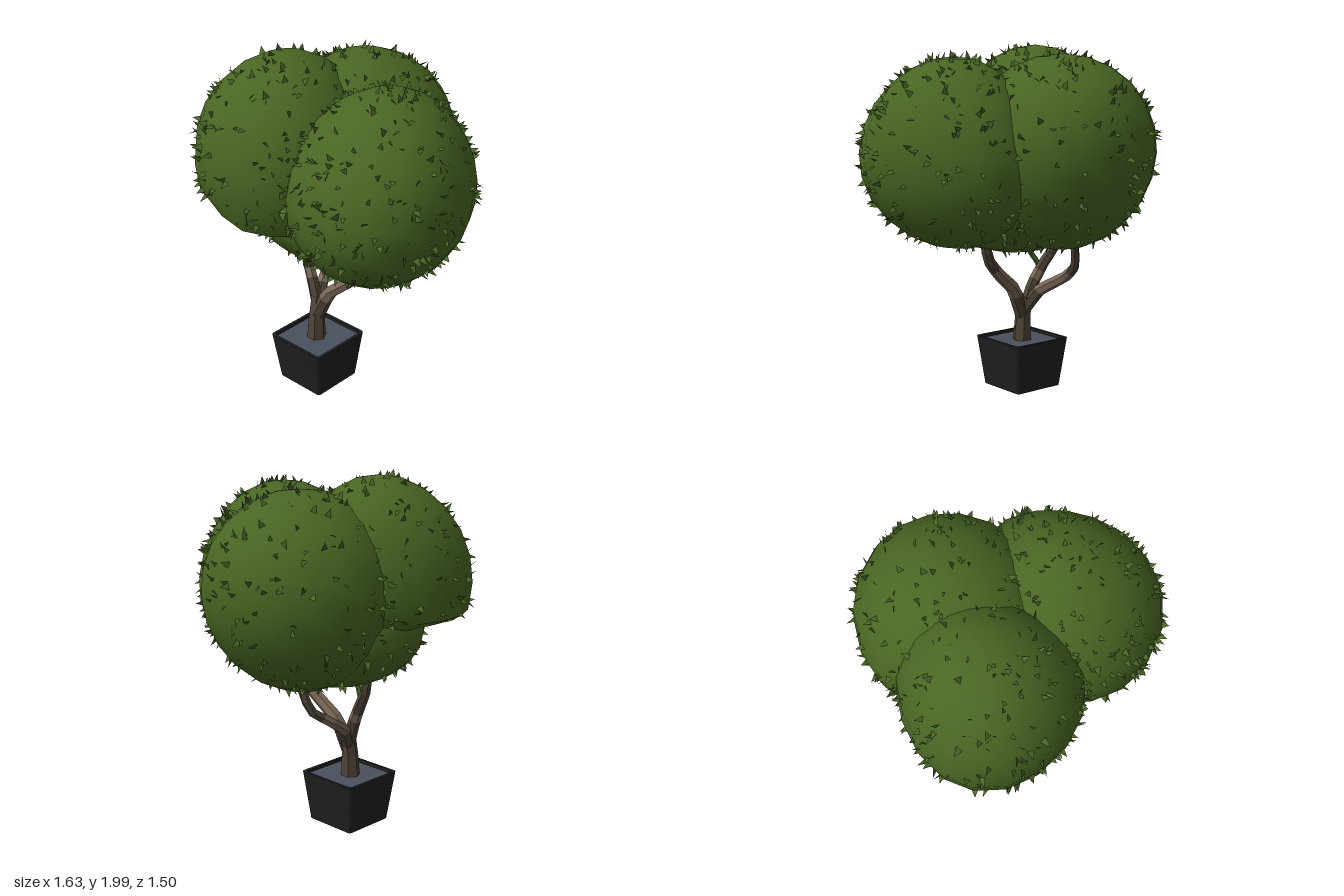
import * as THREE from 'three';
import { toCreasedNormals } from 'three/addons/utils/BufferGeometryUtils.js';

const material = (name, color, side = THREE.FrontSide) => {
  const m = new THREE.MeshStandardMaterial({ color, side });
  m.name = name;
  return m;
};

const V = (x, y, z) => new THREE.Vector3(x, y, z);

function seeded(seed) {
  return () => {
    seed = (seed * 1664525 + 1013904223) % 4294967296;
    return seed / 4294967296;
  };
}

// Foliage clumps: centre, radii, swell (wider to the front), droop (deeper at the bottom), optional sloped cut underneath
const CLUMPS = [
  { name: 'frontRightClump', c: V(-0.31, 1.40, 0.21), r: V(0.465, 0.565, 0.5), swell: 0.16, droop: 0, cut: (x) => 1.06 - 0.235 * x, leaves: 400 },
  { name: 'leftClump', c: V(0.325, 1.38, 0.13), r: V(0.455, 0.515, 0.54), swell: 0.17, droop: 0.14, leaves: 480 },
  { name: 'backClump', c: V(-0.145, 1.38, -0.20), r: V(0.515, 0.53, 0.525), swell: 0, droop: -0.08, leaves: 350 },
  { name: 'lowerClump', c: V(-0.07, 1.18, 0.06), r: V(0.6, 0.365, 0.47), swell: 0, droop: 0, leaves: 320 },
];

// Surface point of a clump for a unit direction
function clumpPoint(b, d) {
  return V(d.x * (1 + b.swell * d.z), d.y, d.z * (1 - b.droop * d.y)).multiply(b.r).add(b.c);
}

function isInside(b, p) {
  if (b.cut && p.y < b.cut(p.x)) return false;
  const q = p.clone().sub(b.c).divide(b.r);
  q.z /= 1 - b.droop * q.y;
  q.x /= 1 + b.swell * q.z;
  return q.length() < 0.98;
}

function clumpGeometry(b) {
  const g = new THREE.SphereGeometry(1, 18, 12);
  const pos = g.attributes.position;
  const v = V(0, 0, 0);
  for (let i = 0; i < pos.count; i++) {
    const p = clumpPoint(b, v.fromBufferAttribute(pos, i));
    if (b.cut) p.y = Math.max(p.y, b.cut(p.x));
    pos.setXYZ(i, p.x, p.y, p.z);
  }
  return toCreasedNormals(g, 0.8);
}

// Small pointed leaves standing off the exposed surface of a clump
function leafGeometry(b, rand) {
  const out = [];
  for (let i = 0; i < b.leaves; i++) {
    const y = rand() * 2 - 1, a = rand() * Math.PI * 2, h = Math.sqrt(1 - y * y);
    const dir = V(h * Math.cos(a), y, h * Math.sin(a));
    const p = clumpPoint(b, dir);
    const spin = rand() * Math.PI * 2, size = 0.03 + rand() * 0.016;
    if (b.cut && p.y < b.cut(p.x)) continue;
    if (CLUMPS.some((o) => o !== b && isInside(o, p))) continue;
    const n = dir.clone().divide(b.r).normalize();
    const side = V(0.3, 1, 0.2).cross(n).normalize().applyAxisAngle(n, spin);
    const along = n.clone().cross(side);
    p.addScaledVector(n, -0.01);
    const tip = p.clone().addScaledVector(n, size).addScaledVector(along, size * 0.6);
    const l = p.clone().addScaledVector(side, size * 0.45);
    const r = p.clone().addScaledVector(side, -size * 0.45);
    out.push(...l.toArray(), ...r.toArray(), ...tip.toArray());
  }
  const g = new THREE.BufferGeometry();
  g.setAttribute('position', new THREE.Float32BufferAttribute(out, 3));
  g.computeVertexNormals();
  return g;
}

// Faceted limb along a path, tapering from r0 to r1; bands gives the material index of each ring
function limbGeometry(points, r0, r1, bands) {
  const curve = new THREE.CatmullRomCurve3(points, false, 'catmullrom', 0.2);
  const rings = bands.length, sides = 6;
  const g = new THREE.TubeGeometry(curve, rings, 1, sides);
  const pos = g.attributes.position;
  const v = V(0, 0, 0);
  for (let i = 0; i <= rings; i++) {
    const c = curve.getPointAt(i / rings);
    const radius = THREE.MathUtils.lerp(r0, r1, i / rings);
    for (let j = 0; j <= sides; j++) {
      const k = i * (sides + 1) + j;
      v.fromBufferAttribute(pos, k).sub(c).multiplyScalar(radius).add(c);
      pos.setXYZ(k, v.x, v.y, v.z);
    }
  }
  const flat = g.toNonIndexed();
  flat.computeVertexNormals();
  bands.forEach((m, i) => flat.addGroup(i * sides * 6, sides * 6, m));
  return flat;
}

function roundedSquare(Type, h, r) {
  const s = new Type();
  s.moveTo(-h + r, -h);
  s.lineTo(h - r, -h).absarc(h - r, -h + r, r, -Math.PI / 2, 0);
  s.lineTo(h, h - r).absarc(h - r, h - r, r, 0, Math.PI / 2);
  s.lineTo(-h + r, h).absarc(-h + r, h - r, r, Math.PI / 2, Math.PI);
  s.lineTo(-h, -h + r).absarc(-h + r, -h + r, r, Math.PI, Math.PI * 1.5);
  return s;
}

// Square slab from y0 to y1 following the pot's taper
function potGeometry(shape, y0, y1) {
  const g = new THREE.ExtrudeGeometry(shape, { depth: y1 - y0, bevelEnabled: false, curveSegments: 4 });
  g.rotateX(-Math.PI / 2).translate(0, y0, 0);
  const pos = g.attributes.position;
  for (let i = 0; i < pos.count; i++) {
    const s = 0.82 + 0.18 * pos.getY(i) / 0.285;
    pos.setX(i, pos.getX(i) * s);
    pos.setZ(i, pos.getZ(i) * s);
  }
  return toCreasedNormals(g, 0.6);
}

export function createModel() {
  const foliage = material('foliage green', 0x496623);
  const leaf = material('leaf green', 0x496628, THREE.DoubleSide);
  const darkBark = material('dark bark brown', 0x4f4437, THREE.DoubleSide);
  const lightBark = material('light bark brown', 0x796757, THREE.DoubleSide);
  const potBlack = material('pot black', 0x1f1f1f);
  const soilGrey = material('soil grey', 0x4a515d);
  const barks = [darkBark, lightBark];

  const model = new THREE.Group();
  model.name = 'pottedTree';
  const add = (parent, name, geometry, mat) => {
    const mesh = new THREE.Mesh(geometry, mat);
    mesh.name = name;
    parent.add(mesh);
    return mesh;
  };

  // Pot: tapered wall, floor and soil
  const pot = new THREE.Group();
  pot.name = 'pot';
  pot.position.set(-0.17, 0, 0.16);
  model.add(pot);
  const wall = roundedSquare(THREE.Shape, 0.192, 0.022);
  wall.holes.push(roundedSquare(THREE.Path, 0.174, 0.015));
  add(pot, 'potWall', potGeometry(wall, 0, 0.285), potBlack);
  add(pot, 'potFloor', potGeometry(roundedSquare(THREE.Shape, 0.175, 0.015), 0, 0.02), potBlack);
  add(pot, 'soil', potGeometry(roundedSquare(THREE.Shape, 0.175, 0.015), 0.24, 0.268), soilGrey);

  // Trunk and branches
  const limbs = new THREE.Group();
  limbs.name = 'limbs';
  model.add(limbs);
  add(limbs, 'trunk', limbGeometry([V(-0.175, 0.24, 0.165), V(-0.175, 0.38, 0.16), V(-0.18, 0.53, 0.14)], 0.058, 0.038, [0, 0, 0, 0]), barks);
  add(limbs, 'leftBranch', limbGeometry([V(-0.17, 0.42, 0.155), V(-0.09, 0.58, 0.14), V(0.03, 0.68, 0.12), V(0.13, 0.78, 0.09), V(0.17, 0.95, 0.08)], 0.044, 0.026, [0, 0, 1, 1, 1, 1, 0, 0, 0, 0]), barks);
  add(limbs, 'backBranch', limbGeometry([V(-0.18, 0.46, 0.14), V(-0.22, 0.57, 0.06), V(-0.28, 0.66, -0.09), V(-0.24, 0.75, -0.22), V(-0.19, 0.92, -0.26)], 0.038, 0.022, [0, 0, 1, 1, 1, 1, 0, 0, 0, 0]), barks);
  add(limbs, 'rightBranch', limbGeometry([V(-0.18, 0.46, 0.14), V(-0.23, 0.6, 0.13), V(-0.29, 0.71, 0.11), V(-0.36, 0.82, 0.08), V(-0.38, 0.98, 0.08)], 0.038, 0.024, [0, 0, 0, 1, 0, 0, 0, 0, 0, 0]), barks);
  add(limbs, 'greenTwig', limbGeometry([V(-0.24, 0.62, 0.12), V(-0.28, 0.7, 0.14), V(-0.22, 0.8, 0.17), V(-0.2, 0.92, 0.18)], 0.018, 0.012, [0, 0, 0, 0, 0, 0, 0, 0]), [leaf]);

  // Crown of foliage with loose leaves
  const crown = new THREE.Group();
  crown.name = 'crown';
  model.add(crown);
  const rand = seeded(7);
  for (const b of CLUMPS) {
    add(crown, b.name, clumpGeometry(b), foliage);
    add(crown, b.name + 'Leaves', leafGeometry(b, rand), leaf);
  }
  return model;
}
